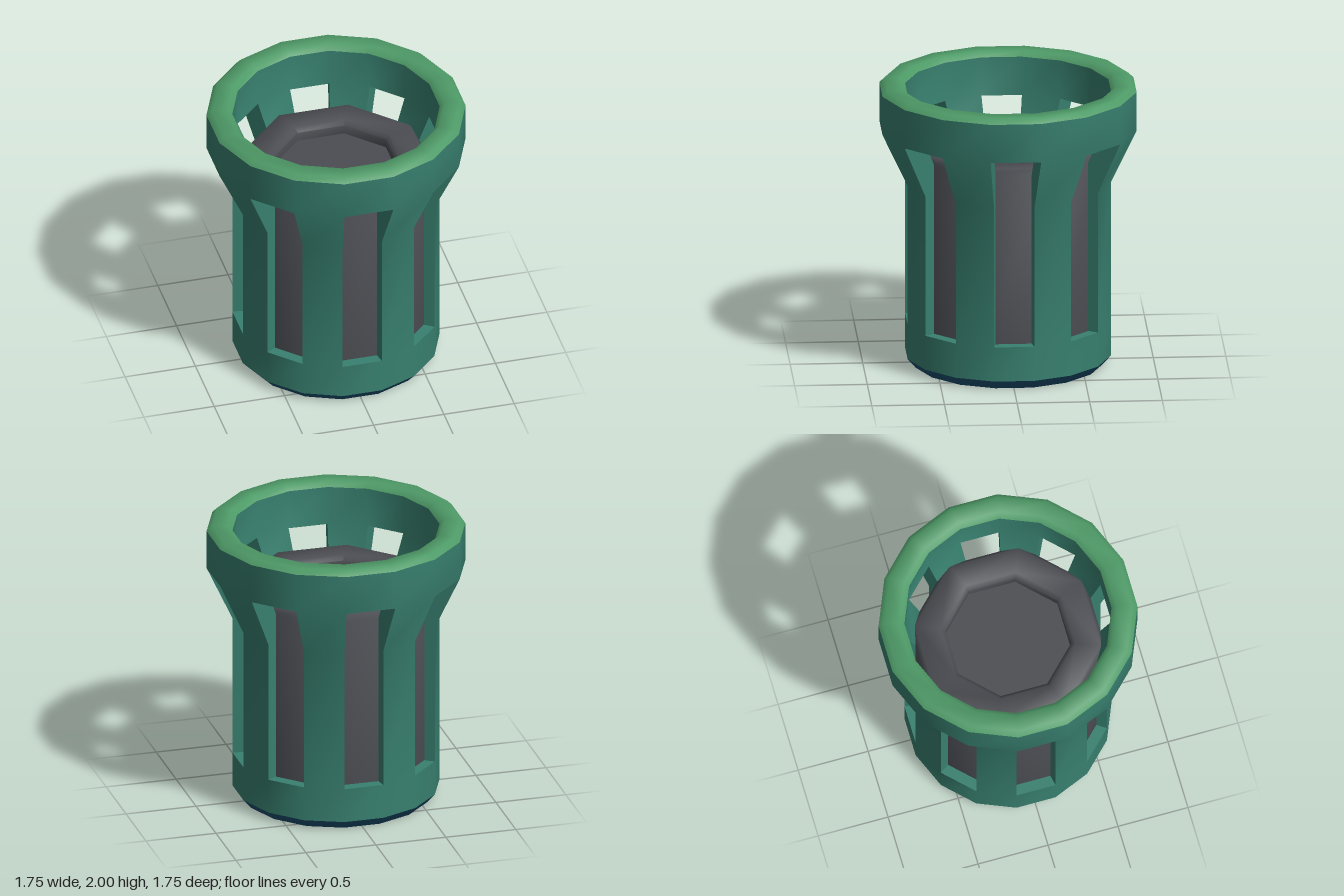
import * as THREE from 'three';
import { toCreasedNormals } from 'three/addons/utils/BufferGeometryUtils.js';

const mat = (name, color) => new THREE.MeshStandardMaterial({ name, color });

// Point on a prism corner: a = distance from axis to the flat side, k = corner index
function corner([a, y], k, n) {
  const t = (k - 0.5) * 2 * Math.PI / n, r = a / Math.cos(Math.PI / n);
  return [r * Math.sin(t), y, r * Math.cos(t)];
}

function quad(out, a, b, c, d) {
  out.push(...a, ...b, ...c, ...a, ...c, ...d);
}

// Sweep a [distance, height] path across side k of an n-sided prism
function addSide(out, path, k, n) {
  for (let i = 0; i < path.length - 1; i++) {
    const p = path[i], q = path[i + 1];
    quad(out, corner(p, k, n), corner(p, k + 1, n), corner(q, k + 1, n), corner(q, k, n));
  }
}

function makeMesh(name, positions, material) {
  const g = new THREE.BufferGeometry();
  g.setAttribute('position', new THREE.Float32BufferAttribute(positions, 3));
  const mesh = new THREE.Mesh(toCreasedNormals(g, 1.0), material);
  mesh.name = name;
  return mesh;
}

function prism(name, path, n, material) {
  const out = [];
  for (let k = 0; k < n; k++) addSide(out, path, k, n);
  return makeMesh(name, out, material);
}

export function createModel() {
  const teal = mat('teal', 0x38806f);
  const green = mat('green', 0x4e9a67);
  const grey = mat('dark grey', 0x4b4d52);
  const blue = mat('navy blue', 0x1d5274);
  const group = new THREE.Group();
  group.name = 'slottedCup';
  const N = 16;

  // Flared shell: solid ribs alternate with open slots
  const outer = [[0.70, 0.31], [0.70, 1.31], [0.875, 1.69]];
  const inner = [[0.625, 0.31], [0.625, 1.52], [0.70, 1.69]];
  const ribOut = [[0.70, 0.065], ...outer, [0.875, 1.965]];
  const ribIn = [[0.70, 1.965], ...[...inner].reverse(), [0.625, 0.065]];
  const baseBand = [[0.70, 0.065], outer[0], inner[0], [0.625, 0.065]];
  const headBand = [[0.70, 1.965], inner[2], outer[2], [0.875, 1.965]];
  const shell = [];
  for (let k = 0; k < N; k++) {
    if (k % 2 === 0) {
      addSide(shell, baseBand, k, N);
      addSide(shell, headBand, k, N);
      continue;
    }
    addSide(shell, ribOut, k, N);
    addSide(shell, ribIn, k, N);
    // Side walls of the rib
    for (let i = 0; i < 2; i++) {
      const c = [outer[i], inner[i], inner[i + 1], outer[i + 1]];
      quad(shell, ...c.map(p => corner(p, k + 1, N)));
      quad(shell, ...c.map(p => corner(p, k, N)).reverse());
    }
  }
  group.add(makeMesh('slottedShell', shell, teal));

  // Bevelled rim and bevelled foot
  group.add(prism('rim', [[0.875, 1.965], [0.84, 2], [0.735, 2], [0.70, 1.965]], N, green));
  group.add(prism('foot', [[0, 0], [0.645, 0], [0.70, 0.065]], N, blue));

  // Octagonal core with a shallow recess in its top
  group.add(prism('core', [[0.625, 0.2], [0.625, 1.52], [0.595, 1.565], [0.43, 1.565],
    [0.40, 1.535], [0.40, 1.47]], 8, grey));
  group.add(prism('coreFloor', [[0.40, 1.47], [0, 1.47]], 8, grey));

  return group;
}
